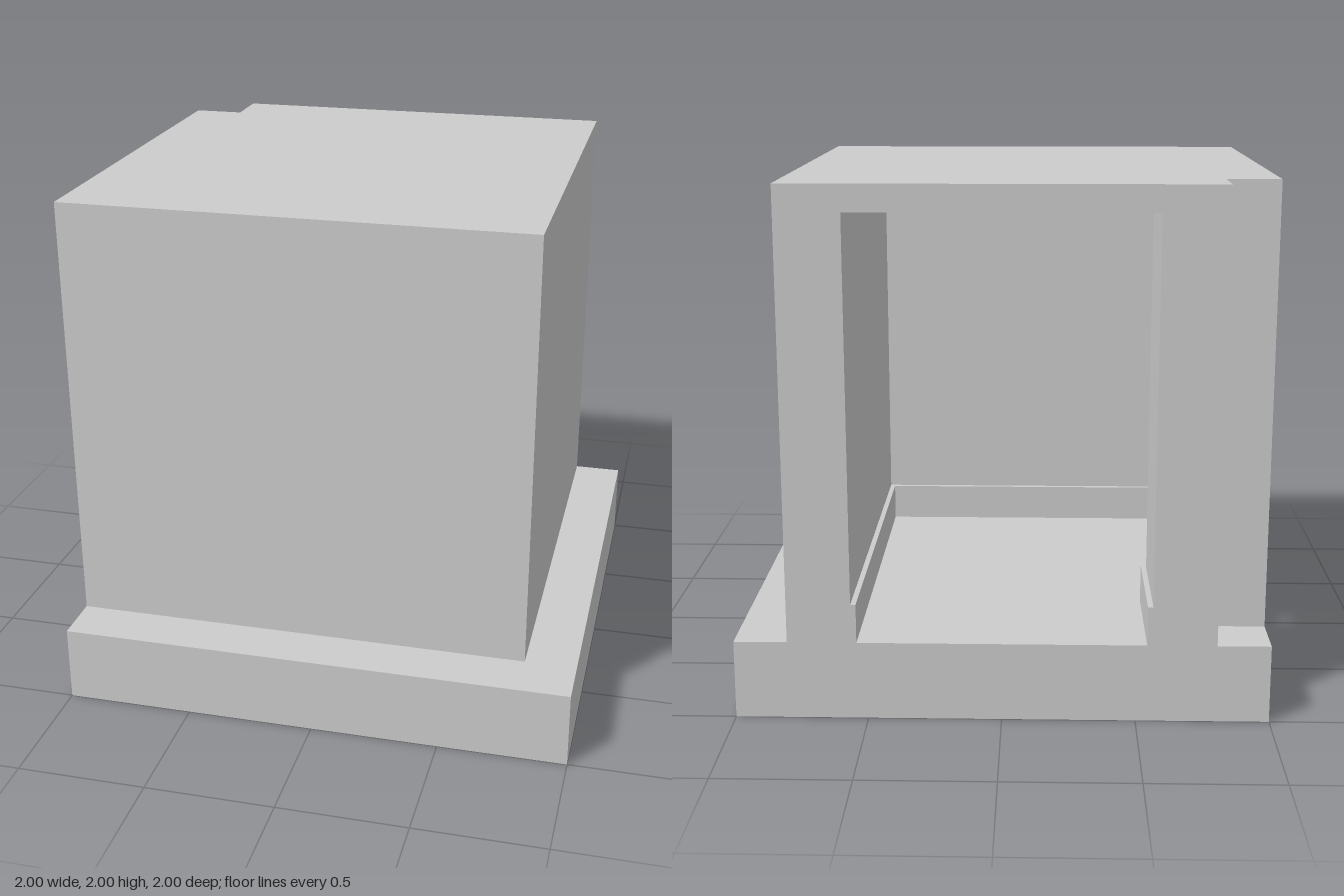
import * as THREE from 'three';

const material = new THREE.MeshStandardMaterial({ color: 0xcccccc, flatShading: true });

// Extrudes a floor-plan outline of [x, z] corners from height y0 to y1.
function prism(name, plan, y0, y1) {
  const shape = new THREE.Shape(plan.map(([x, z]) => new THREE.Vector2(x, -z)));
  const geometry = new THREE.ExtrudeGeometry(shape, { depth: y1 - y0, bevelEnabled: false });
  geometry.rotateX(-Math.PI / 2).translate(0, y0, 0);
  const mesh = new THREE.Mesh(geometry, material);
  mesh.name = name;
  return mesh;
}

// L-shaped plan of the two closed walls; r is the inner half-width of the room.
const wallPlan = (r) => [[0.8, -1], [0.8, 0.8], [-1, 0.8], [-1, r], [r, r], [r, -1]];

// Corner post plan with its notched outer corner.
const postPlan = (r) => [[-0.8, -1], [-r, -1], [-r, -r], [-1, -r], [-1, -0.8], [-0.8, -0.8]];

export function createModel() {
  const model = new THREE.Group();
  model.name = 'openCornerRoom';

  const floorY = 0.3, skirtY = 0.45, ceilingY = 1.9, topY = 2;
  const room = 0.56, skirtRoom = 0.54;

  // Base slab
  model.add(prism('baseSlab', [[-1, -1], [1, -1], [1, 1], [-1, 1]], 0, floorY));

  // Walls and post, slightly thicker at the foot
  model.add(
    prism('wallFoot', wallPlan(skirtRoom), floorY, skirtY),
    prism('walls', wallPlan(room), skirtY, ceilingY),
    prism('postFoot', postPlan(skirtRoom), floorY, skirtY),
    prism('cornerPost', postPlan(room), skirtY, ceilingY)
  );

  // Roof, notched above the post
  const roofPlan = [[-0.8, -1], [0.8, -1], [0.8, 0.8], [-1, 0.8], [-1, -0.8], [-0.8, -0.8]];
  model.add(prism('roof', roofPlan, ceilingY, topY));

  return model;
}
